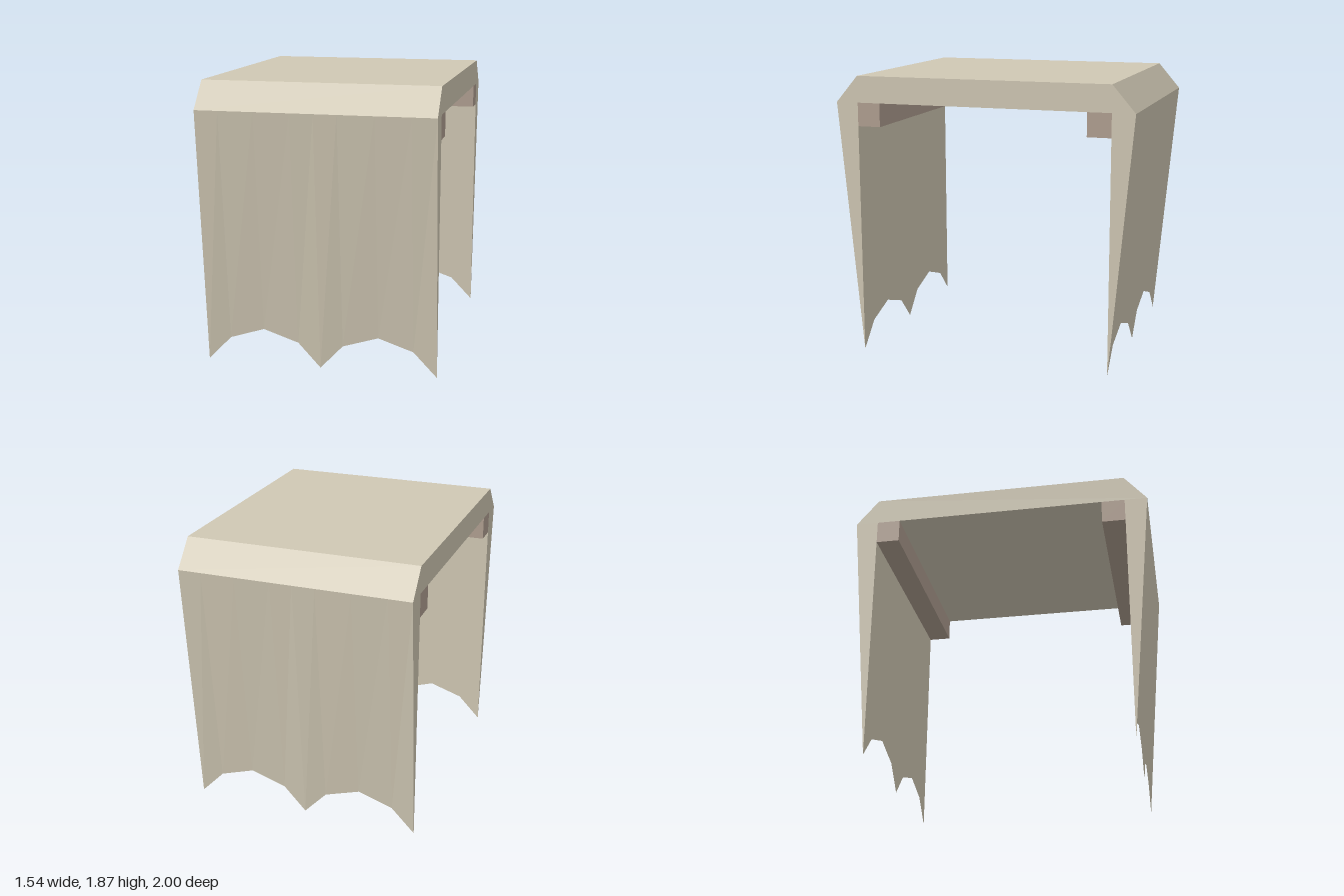
import * as THREE from 'three';

const HALF = 0.77, EDGE = 1.695, TOP = 1.87, INNER = 0.85, OUTER = 1;

// Wedge-shaped hanging: thick at the top, tapering to a scalloped lower edge
function hangingGeometry() {
  const xs = [-HALF, -0.615, -0.385, -0.15, 0, 0.15, 0.385, 0.615, HALF];
  const ys = [0, 0.16, 0.235, 0.16, 0, 0.16, 0.235, 0.16, 0];
  const pos = [];
  const tri = (...points) => points.forEach(p => pos.push(...p));
  const quad = (a, b, c, d) => { tri(a, b, c); tri(a, c, d); };
  const low = i => [xs[i], ys[i], INNER];
  const top = (i, z) => [xs[i], EDGE, z];
  for (let i = 0; i < 8; i++) {
    quad(low(i), low(i + 1), top(i + 1, OUTER), top(i, OUTER)); // sloping outside
    quad(low(i + 1), low(i), top(i, INNER), top(i + 1, INNER)); // upright inside
  }
  tri(low(0), top(0, OUTER), top(0, INNER)); // end faces
  tri(low(8), top(8, INNER), top(8, OUTER));
  const geometry = new THREE.BufferGeometry();
  geometry.setAttribute('position', new THREE.Float32BufferAttribute(pos, 3));
  geometry.computeVertexNormals();
  return geometry;
}

export function createModel() {
  const model = new THREE.Group();
  model.name = 'canopy';
  const cloth = new THREE.MeshStandardMaterial({ color: 0xd0c8b4 });
  cloth.name = 'cream cloth';
  const wood = new THREE.MeshStandardMaterial({ color: 0xb09f91 });
  wood.name = 'dusty wood';

  const add = (name, geometry, material) => {
    const mesh = new THREE.Mesh(geometry, material);
    mesh.name = name;
    model.add(mesh);
    return mesh;
  };

  // Roof slab with bevelled front and back, extruded along x
  const profile = new THREE.Shape([
    new THREE.Vector2(-OUTER, EDGE), new THREE.Vector2(OUTER, EDGE),
    new THREE.Vector2(INNER, TOP), new THREE.Vector2(-INNER, TOP),
  ]);
  const roof = new THREE.ExtrudeGeometry(profile, { depth: 2 * HALF, bevelEnabled: false });
  roof.translate(0, 0, -HALF).rotateY(Math.PI / 2);
  add('roof', roof, cloth);

  // A hanging and a support rail at the front and back
  const hanging = hangingGeometry();
  const rail = new THREE.BoxGeometry(2 * HALF, 0.155, 0.155);
  for (const [side, sign] of [['front', 1], ['back', -1]]) {
    add(side + 'Hanging', hanging, cloth).rotation.y = sign > 0 ? 0 : Math.PI;
    add(side + 'Rail', rail, wood).position.set(0, EDGE - 0.0775, sign * (INNER - 0.0775));
  }
  return model;
}
